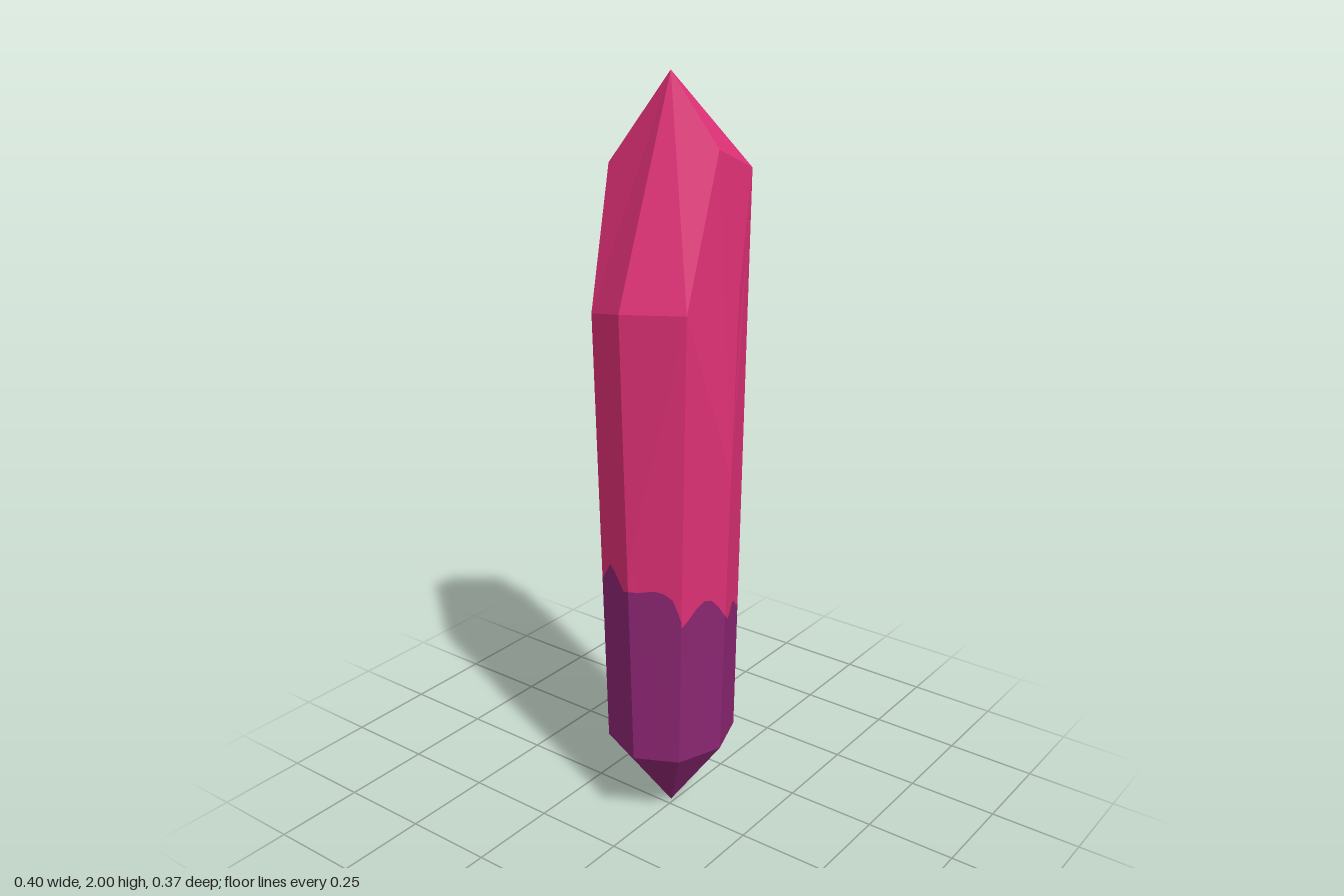
import * as THREE from 'three';

const V = (x, y, z) => new THREE.Vector3(x, y, z);

// Fan-triangulate polygons into a faceted mesh
function facetMesh(name, polygons, material) {
  const points = [];
  for (const p of polygons) {
    for (let i = 1; i < p.length - 1; i++) points.push(p[0], p[i], p[i + 1]);
  }
  const geometry = new THREE.BufferGeometry().setFromPoints(points);
  geometry.computeVertexNormals();
  const mesh = new THREE.Mesh(geometry, material);
  mesh.name = name;
  return mesh;
}

export function createModel() {
  const pink = new THREE.MeshStandardMaterial({ color: 0xdf3176 });
  pink.name = 'crystal pink';
  const purple = new THREE.MeshStandardMaterial({ color: 0x8c2672 });
  purple.name = 'base purple';

  // Eight corners, counter-clockwise from -x through the front
  const bottom = [[-0.16, 0], [-0.105, 0.11], [0.02, 0.155], [0.15, 0.11],
    [0.2, -0.01], [0.15, -0.13], [0.02, -0.175], [-0.105, -0.13]].map(([x, z]) => V(x, 0.23, z));
  const top = [V(-0.2, 1.46, 0), V(-0.147, 1.47, 0.16), V(0, 1.83, 0.143), V(0.15, 1.77, 0.135),
    V(0.16, 1.83, 0), V(0.143, 1.71, -0.167), V(0, 1.77, -0.187), V(-0.14, 1.43, -0.133)];
  const apex = V(0, 2, 0.003), foot = V(0.02, 0, -0.01);

  // Extra vertices where the front and right edges split
  const frontMid = V(0.01, 1.03, 0.184), frontSplit = V(0.05, 1.5, 0.172);
  const rightMid = V(0.2, 0.82, -0.012), rightSplit = V(0.187, 1.64, -0.073);
  const edgeEnd = top.slice();
  edgeEnd[2] = frontMid;
  edgeEnd[4] = rightMid;

  // Point on a long edge at a given height
  const onEdge = (i, y) => {
    const a = bottom[i], b = edgeEnd[i];
    return a.clone().lerp(b, (y - a.y) / (b.y - a.y));
  };
  const onFace = (i, t, y) => onEdge(i, y).lerp(onEdge((i + 1) % 8, y), t);

  // Wavy colour line, sampled across each side
  const wave = [
    [0.73, 0.73, 0.735, 0.74, 0.735, 0.72, 0.66],
    [0.64, 0.66, 0.685, 0.70, 0.695, 0.67, 0.635],
    [0.64, 0.615, 0.62, 0.64, 0.635, 0.61, 0.60],
    [0.60, 0.60, 0.60, 0.595, 0.58, 0.575, 0.58],
    [0.58, 0.60, 0.615, 0.62, 0.60, 0.59, 0.59],
    [0.68, 0.71, 0.74, 0.74, 0.72, 0.70, 0.70],
    [0.70, 0.74, 0.76, 0.75, 0.73, 0.71, 0.71],
    [0.71, 0.74, 0.77, 0.76, 0.74, 0.72, 0.73],
  ];
  const ringY = 0.79;
  const ring = bottom.map((_, i) => onEdge(i, ringY));
  const baseFaces = [], bodyFaces = [], footFaces = [];
  wave.forEach((heights, i) => {
    for (let k = 0; k < 6; k++) {
      const t0 = k / 6, t1 = (k + 1) / 6;
      const w0 = onFace(i, t0, heights[k]), w1 = onFace(i, t1, heights[k + 1]);
      baseFaces.push([onFace(i, t0, 0.23), onFace(i, t1, 0.23), w1, w0]);
      bodyFaces.push([w0, w1, onFace(i, t1, ringY), onFace(i, t0, ringY)]);
    }
    footFaces.push([foot, bottom[(i + 1) % 8], bottom[i]]);
  });

  // Upper sides: plain quads, except around the split edges
  for (const i of [0, 5, 6, 7]) {
    const j = (i + 1) % 8;
    bodyFaces.push([ring[i], ring[j], top[j], top[i]]);
  }
  bodyFaces.push(
    [ring[1], ring[2], frontMid, top[1]],
    [frontMid, frontSplit, top[3], top[2], top[1]],
    [ring[3], top[3], frontSplit, frontMid, ring[2]],
    [ring[3], ring[4], rightMid, rightSplit, top[4], top[3]],
    [ring[5], top[5], rightSplit, rightMid, ring[4]],
  );

  // Slanted facets that meet at the tip
  const shoulder = [...top.slice(0, 5), rightSplit, ...top.slice(5)];
  const tipFaces = shoulder.map((p, i) => [apex, p, shoulder[(i + 1) % shoulder.length]]);

  const crystal = new THREE.Group();
  crystal.name = 'crystal';
  crystal.add(
    facetMesh('crystalBody', bodyFaces, pink),
    facetMesh('crystalTip', tipFaces, pink),
    facetMesh('crystalBase', baseFaces, purple),
    facetMesh('crystalFoot', footFaces, purple),
  );
  return crystal;
}
